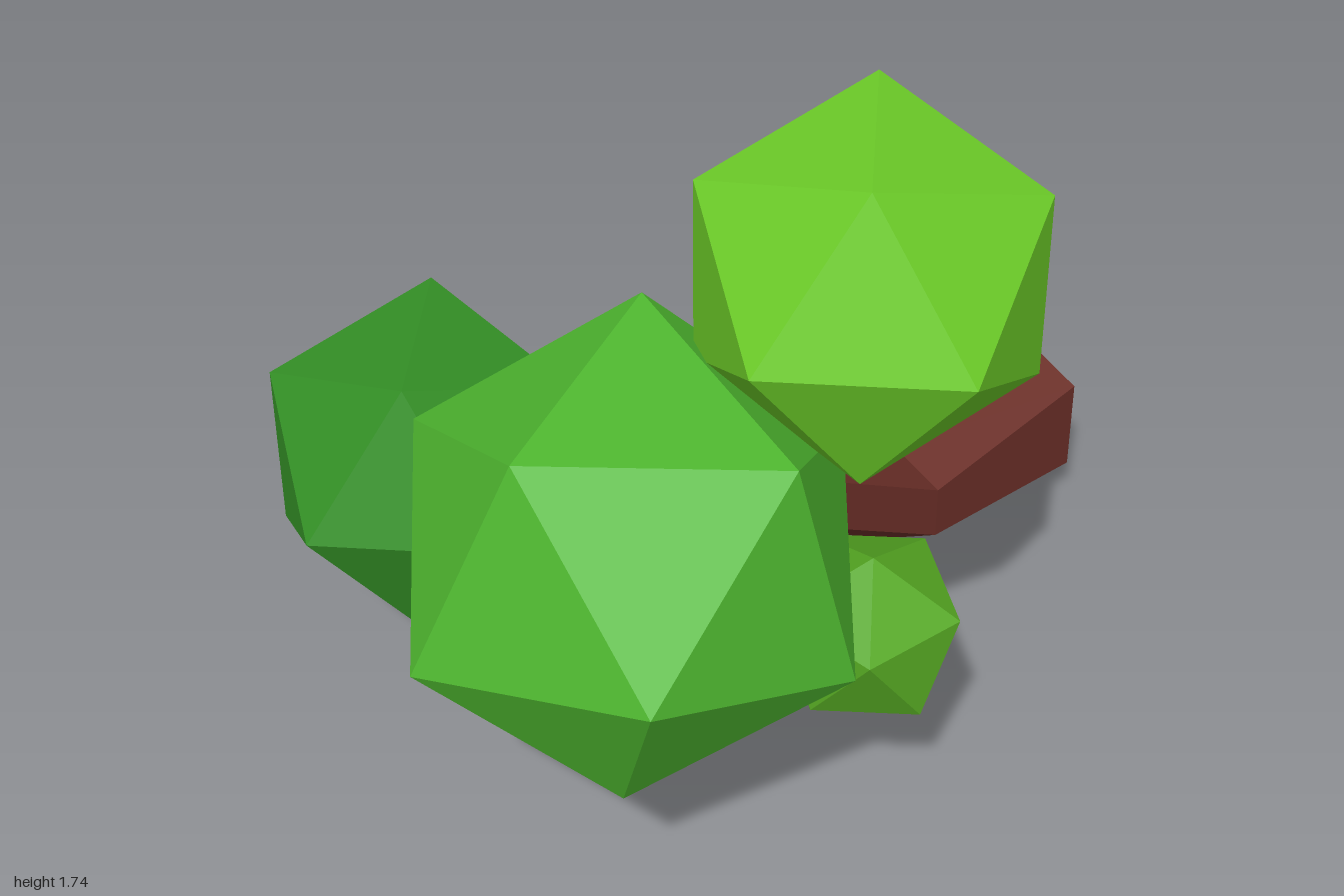
import * as THREE from 'three';

const V = (p) => new THREE.Vector3(...p);
const paint = (color) => new THREE.MeshStandardMaterial({ color, flatShading: true });

// Faceted limb: polygon rings along a path of [x, y, z, radius], capped at both ends.
// Rings face along `normal` if given, otherwise along the path.
function limb(name, path, sides, material, normal) {
  const pos = [], index = [];
  const pts = path.map(V);
  path.forEach((p, i) => {
    const n = normal ? V(normal)
      : pts[Math.min(i + 1, pts.length - 1)].clone().sub(pts[Math.max(i - 1, 0)]).normalize();
    const ref = Math.abs(n.y) > 0.8 ? V([0, 0, -1]) : V([0, 1, 0]);
    const side = ref.cross(n).normalize();
    const up = n.clone().cross(side);
    for (let k = 0; k < sides; k++) {
      const a = (k / sides) * Math.PI * 2;
      const v = pts[i].clone().addScaledVector(up, Math.cos(a) * p[3]).addScaledVector(side, -Math.sin(a) * p[3]);
      pos.push(v.x, v.y, v.z);
    }
  });
  const last = (path.length - 1) * sides;
  for (let i = 0; i < last; i += sides) {
    for (let k = 0; k < sides; k++) {
      const a = i + k, b = i + (k + 1) % sides;
      index.push(a, b, b + sides, a, b + sides, a + sides);
    }
  }
  for (let k = 1; k < sides - 1; k++) {
    index.push(0, k + 1, k, last, last + k, last + k + 1);
  }
  const geo = new THREE.BufferGeometry();
  geo.setAttribute('position', new THREE.Float32BufferAttribute(pos, 3));
  geo.setIndex(index);
  geo.computeVertexNormals();
  const mesh = new THREE.Mesh(geo, material);
  mesh.name = name;
  return mesh;
}

// Icosahedron of leaves, turned so that one of its edges runs from p to q (relative to the centre)
function foliage(name, radius, centre, p, q, color) {
  const mesh = new THREE.Mesh(new THREE.IcosahedronGeometry(radius, 0), paint(color));
  const y = V(p).add(V(q)).normalize();
  const x = V(q).sub(V(p));
  x.addScaledVector(y, -x.dot(y)).normalize();
  const z = x.clone().cross(y);
  mesh.quaternion.setFromRotationMatrix(new THREE.Matrix4().makeBasis(x, y, z));
  mesh.position.set(...centre);
  mesh.name = name;
  return mesh;
}

export function createModel() {
  const tree = new THREE.Group();
  tree.name = 'tree';
  const bark = paint(0x6b2f28);

  // Trunk lying back along z, with its flared base at the rear
  tree.add(limb('trunk', [
    [0.128, 0.228, -1, 0.225],
    [0.128, 0.23, -0.55, 0.13],
    [-0.028, 0.57, 0, 0.13],
    [0.14, 0.69, 0.22, 0.05],
    [0.2, 0.76, 0.32, 0.04],
  ], 6, bark, [0, 0, 1]));

  // Branches
  tree.add(limb('rightBranch', [
    [0.03, 0.52, 0.06, 0.035], [-0.19, 0.555, 0.185, 0.032], [-0.36, 0.575, 0.25, 0.025],
  ], 6, bark));
  tree.add(limb('upperBranch', [
    [0.03, 0.62, 0.08, 0.045], [0.14, 0.76, 0.11, 0.035], [0.3, 1.0, 0.1, 0.028],
    [0.43, 1.13, 0.18, 0.025], [0.47, 1.3, 0.21, 0.02],
  ], 6, bark));
  tree.add(limb('leftTwig', [
    [0.17, 0.74, 0.11, 0.025], [0.26, 0.61, 0.09, 0.025], [0.42, 0.58, 0.14, 0.02],
  ], 6, bark));

  // Foliage
  const edge = [[-0.1, 0.3125, -0.164], [0.1, 0.3125, 0.164]];
  tree.add(foliage('topFoliage', 0.367, [0.512, 1.432, 0.212], ...edge, 0x6ccc28));
  tree.add(foliage('rightFoliage', 0.367, [-0.518, 0.588, 0.278], ...edge, 0x349026));
  tree.add(foliage('frontFoliage', 0.474, [0.247, 0.917, 0.568],
    [-0.172, -0.085, 0.432], [-0.037, 0.372, 0.292], 0x4fb830));
  tree.add(foliage('smallFoliage', 0.203, [0.512, 0.572, 0.163],
    [-0.022, -0.2, -0.016], [-0.02, -0.12, 0.161], 0x55a822));
  return tree;
}
